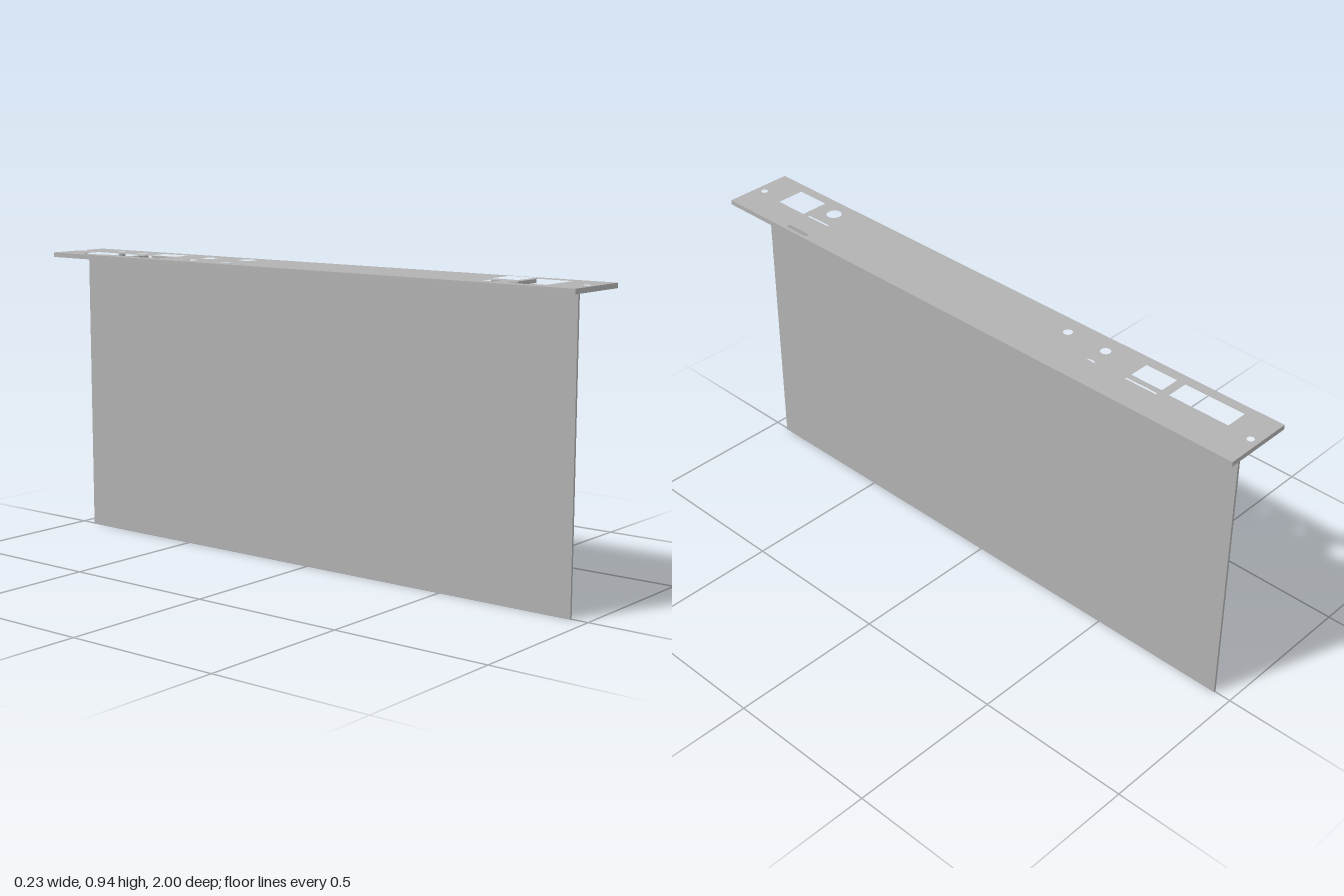
import * as THREE from 'three';

export function createModel() {
  const group = new THREE.Group();
  const grey = new THREE.MeshStandardMaterial({ color: 0xb2b2b2 });
  grey.name = 'plain grey';

  // Closed rectangular path; z is mirrored because the plate is drawn lying flat
  const rectangle = (PathType, x0, x1, z0, z1) => {
    const path = new PathType();
    path.moveTo(x0, -z0);
    path.lineTo(x1, -z0);
    path.lineTo(x1, -z1);
    path.lineTo(x0, -z1);
    path.closePath();
    return path;
  };

  // Face plate with connector cut-outs
  const plate = rectangle(THREE.Shape, -0.113, 0.113, -1, 1);
  const slots = [ // x0, x1, z0, z1
    [-0.079, -0.008, -0.894, -0.693],
    [-0.079, -0.013, -0.664, -0.556],
    [0.007, 0.071, -0.664, -0.556],
    [0.007, 0.102, 0.656, 0.746],
    [-0.079, 0.074, 0.767, 0.881],
  ];
  const roundHoles = [ // x, z, radius
    [0, -0.973, 0.011], [0, 0.969, 0.011],
    [0.05, -0.844, 0.012], [0.05, -0.746, 0.018],
    [-0.053, -0.429, 0.016], [0.032, -0.431, 0.025],
    [-0.053, -0.288, 0.014], [0.053, -0.288, 0.027],
    [-0.053, 0.696, 0.024],
  ];
  for (const slot of slots) plate.holes.push(rectangle(THREE.Path, ...slot));
  for (const [x, z, r] of roundHoles) {
    plate.holes.push(new THREE.Path().absarc(x, -z, r, 0, Math.PI * 2, true));
  }
  const plateGeometry = new THREE.ExtrudeGeometry(plate, {
    depth: 0.015, bevelEnabled: false, curveSegments: 16,
  });
  plateGeometry.rotateX(-Math.PI / 2);
  const facePlate = new THREE.Mesh(plateGeometry, grey);
  facePlate.name = 'facePlate';
  facePlate.position.y = 0.92;
  group.add(facePlate);

  // Upright board and mounting flange, one L-shaped section run along z
  const section = new THREE.Shape([
    [-0.004, 0], [0.004, 0], [0.004, 0.91], [0.071, 0.91], [0.071, 0.92], [-0.004, 0.92],
  ].map(([x, y]) => new THREE.Vector2(x, y)));
  const boardGeometry = new THREE.ExtrudeGeometry(section, { depth: 1.89, bevelEnabled: false });
  boardGeometry.translate(0, 0, -0.945);
  const board = new THREE.Mesh(boardGeometry, grey);
  board.name = 'uprightBoardWithFlange';
  group.add(board);

  return group;
}
